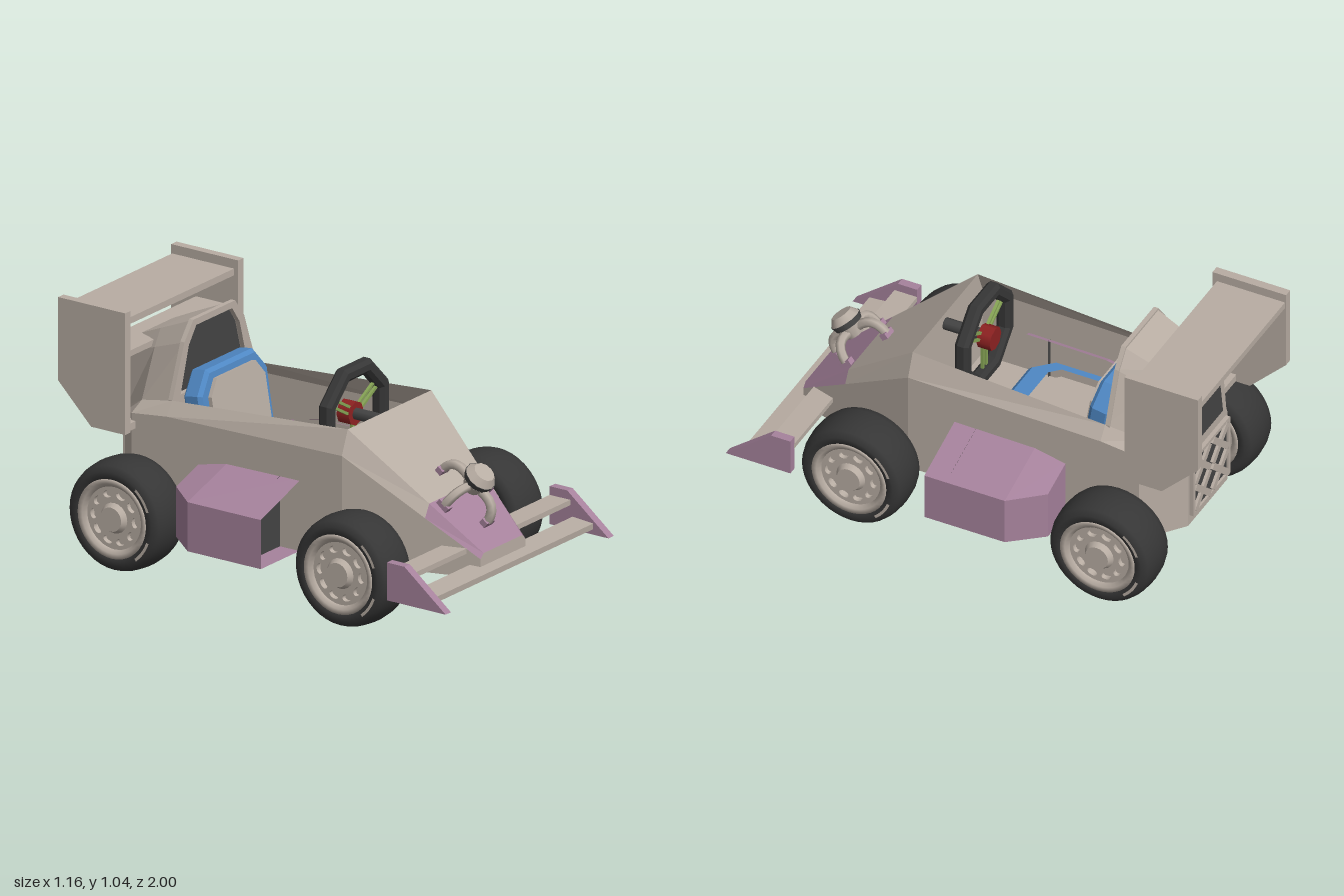
import * as THREE from 'three';

const mat = (name, color, side = THREE.FrontSide) => {
  const m = new THREE.MeshStandardMaterial({ color, side });
  m.name = name;
  return m;
};

export function createModel() {
  const beige = mat('warm grey', 0xb8ada3, THREE.DoubleSide);
  const purple = mat('mauve', 0xa6829c, THREE.DoubleSide);
  const rubber = mat('rubber black', 0x363636);
  const dark = mat('dark grey', 0x444444, THREE.DoubleSide);
  const blue = mat('seat blue', 0x4f88c4);
  const green = mat('spoke green', 0x86a455);
  const red = mat('hub red', 0x8e2222);

  const root = new THREE.Group();
  const add = (name, geo, material, parent = root, x = 0, y = 0, z = 0) => {
    const m = new THREE.Mesh(geo, material);
    m.name = name;
    m.position.set(x, y, z);
    parent.add(m);
    return m;
  };
  const box = (name, material, w, h, d, x, y, z, parent = root) =>
    add(name, new THREE.BoxGeometry(w, h, d), material, parent, x, y, z);
  const shape = pts => new THREE.Shape(pts.map(p => new THREE.Vector2(...p)));
  const extrude = (s, depth, bevel = 0) => new THREE.ExtrudeGeometry(s, {
    depth, bevelEnabled: bevel > 0, bevelSize: bevel, bevelThickness: bevel, bevelSegments: 1, curveSegments: 12 });
  // side profile given as [z, y], extruded across x and centred on x = 0
  const sideExtrude = (pts, width) =>
    extrude(shape(pts.map(([z, y]) => [-z, y])), width).rotateY(Math.PI / 2).translate(-width / 2, 0, 0);
  // right half of an outline, completed by mirroring
  const mirrored = half => shape([...half, ...half.slice().reverse().map(([x, y]) => [-x, y])]);

  // flat-faced geometry from four-cornered faces
  const faces = quads => {
    const pos = [];
    for (const [a, b, c, d] of quads) pos.push(...a, ...b, ...c, ...a, ...c, ...d);
    const g = new THREE.BufferGeometry();
    g.setAttribute('position', new THREE.Float32BufferAttribute(pos, 3));
    g.computeVertexNormals();
    return g;
  };
  const flip = ([x, y, z]) => [-x, y, z];
  const bothSides = quads => quads.concat(quads.map(q => q.map(flip).reverse()));
  // skin between neighbouring sections { z, p: [[x, y], ...] }, front to back
  const skin = (sections, from, to) => {
    const q = [];
    const at = (s, i) => [...s.p[i], s.z];
    for (let k = 0; k + 1 < sections.length; k++)
      for (let i = from; i < to; i++) {
        const a = sections[k], b = sections[k + 1];
        q.push([at(a, i), at(b, i), at(b, i + 1), at(a, i + 1)]);
      }
    return q;
  };
  // faces joining a profile point to its mirror image
  const bridge = (sections, i, up) => sections.slice(1).map((b, k) => {
    const a = sections[k], A = [...a.p[i], a.z], B = [...b.p[i], b.z];
    return up ? [A, B, flip(B), flip(A)] : [A, flip(A), flip(B), B];
  });
  const wall = (s, from, to) => {
    const q = [];
    for (let i = from; i < to; i++) {
      const a = [...s.p[i], s.z], b = [...s.p[i + 1], s.z];
      q.push([a, b, flip(b), flip(a)]);
    }
    return q;
  };

  // body tub and nose: bottom, shoulder, top
  const tip = { z: 0.87, p: [[0.15, 0.185], [0.15, 0.265], [0.13, 0.285]] };
  const mid = { z: 0.65, p: [[0.218, 0.185], [0.218, 0.41], [0.19, 0.463]] };
  const dash = { z: 0.32, p: [[0.32, 0.185], [0.32, 0.63], [0.28, 0.73]] };
  const back = { z: -0.53, p: [[0.32, 0.185], [0.32, 0.615], [0.28, 0.67], [0.2, 0.89], [0.14, 0.967]] };
  const hip = { z: -0.7, p: [[0.32, 0.185], [0.32, 0.595], [0.25, 0.63], [0.165, 0.825], [0.125, 0.893]] };
  const tail = { z: -0.84, p: [[0.17, 0.2], [0.17, 0.53], [0.16, 0.55], [0.13, 0.77], [0.1, 0.83]] };
  const tub = [tip, mid, dash, back];
  add('bodySides', faces(bothSides([...skin(tub, 0, 1), ...skin([mid, dash, back], 1, 2)])), beige);
  add('underbody', faces(bridge([...tub, hip, tail], 0, false)), beige);
  add('hood', faces(bridge([mid, dash], 2, true)), beige);
  add('noseCap', faces([...bothSides(skin([tip, mid], 1, 2)), ...bridge([tip, mid], 2, true)]), purple);
  add('noseFront', faces(wall(tip, 0, 2)), beige);
  add('dashBulkhead', faces(wall(dash, 0, 2)), beige);
  add('engineCover', faces([...bothSides(skin([back, hip, tail], 0, 4)), ...bridge([back, hip, tail], 4, true)]), beige);
  add('rearPanel', faces(wall(tail, 0, 4)), beige);
  box('cockpitFloor', beige, 0.62, 0.02, 0.85, 0, 0.3, -0.105);

  // roll hoop with intake opening
  const hoop = mirrored([[0.28, 0.3], [0.28, 0.67], [0.2, 0.89], [0.14, 0.967]]);
  const opening = [[0.225, 0.68], [0.17, 0.87], [0.12, 0.94]];
  hoop.holes.push(mirrored(opening));
  add('rollHoop', extrude(hoop, 0.02), beige, root, 0, 0, -0.55);
  add('intake', new THREE.ShapeGeometry(mirrored(opening)), dark, root, 0, 0, -0.552);

  // rear vent and lattice grille
  add('rearVent', extrude(mirrored([[0.115, 0.58], [0.09, 0.74]]), 0.006), dark, root, 0, 0, -0.848);
  box('grilleBack', dark, 0.3, 0.27, 0.008, 0, 0.385, -0.844);
  for (const s of [-1, 1]) {
    box('grillePost', beige, 0.015, 0.28, 0.02, s * 0.15, 0.385, -0.848);
    box('grilleRail', beige, 0.3, 0.015, 0.02, 0, 0.385 + s * 0.135, -0.848);
    for (let i = 0; i < 2; i++) for (let j = 0; j < 2; j++)
      box('grilleBar', beige, 0.028, 0.17, 0.02, -0.075 + i * 0.15, 0.32 + j * 0.13, -0.85).rotation.z = s * 0.82;
  }

  // bucket seat
  const seat = new THREE.Group();
  seat.name = 'seat';
  root.add(seat);
  const plan = (w, z0, z1, c) => mirrored([[w, -z0], [w, -z1 + c], [w - c, -z1]]);
  const base = plan(0.215, -0.48, 0.01, 0.07);
  base.holes.push(plan(0.185, -0.43, -0.06, 0.04));
  add('seatShell', extrude(base, 0.14, 0.02).rotateX(-Math.PI / 2), blue, seat, 0, 0.31, 0);
  add('seatCushion', extrude(plan(0.19, -0.43, -0.055, 0.04), 0.12).rotateX(-Math.PI / 2), beige, seat, 0, 0.31, 0);
  const seatBack = new THREE.Group();
  seatBack.position.set(0, 0.36, -0.38);
  seatBack.rotation.x = -0.17;
  seat.add(seatBack);
  add('backShell', extrude(mirrored([[0.21, 0], [0.215, 0.33], [0.15, 0.41]]), 0.06, 0.015), blue, seatBack, 0, 0, -0.07);
  add('backCushion', extrude(mirrored([[0.18, 0.03], [0.18, 0.32], [0.13, 0.385]]), 0.02), beige, seatBack, 0, 0, 0.002);

  // steering wheel
  const steering = new THREE.Group();
  steering.name = 'steeringWheel';
  steering.position.set(0, 0.68, 0.148);
  root.add(steering);
  const octagon = r => Array.from({ length: 8 }, (_, i) => {
    const a = (i + 0.5) * Math.PI / 4;
    return [r * Math.cos(a), r * Math.sin(a)];
  });
  const rimShape = shape(octagon(0.208));
  rimShape.holes.push(shape(octagon(0.18)));
  add('steeringRim', extrude(rimShape, 0.03, 0.015), rubber, steering, 0, 0, -0.015);
  add('steeringHub', new THREE.CylinderGeometry(0.05, 0.05, 0.06, 8).rotateX(Math.PI / 2), red, steering, 0, 0, -0.02);
  add('steeringColumn', new THREE.CylinderGeometry(0.025, 0.025, 0.17, 8).rotateX(Math.PI / 2), dark, steering, 0, 0, 0.09);
  for (const a of [Math.PI / 6, Math.PI * 5 / 6, -Math.PI / 2]) for (const o of [-0.014, 0.014]) {
    const spoke = new THREE.BoxGeometry(0.17, 0.011, 0.012).translate(0.1, o, 0).rotateZ(a);
    add('steeringSpoke', spoke, green, steering);
  }

  // nose ornament: round knob on four curved legs
  const ornament = new THREE.Group();
  ornament.name = 'noseOrnament';
  ornament.position.set(0, 0.442, 0.68);
  ornament.rotation.x = 0.675;
  root.add(ornament);
  add('knobTop', new THREE.CylinderGeometry(0.045, 0.066, 0.03, 12), beige, ornament, 0, 0.145, 0);
  add('knobBand', new THREE.CylinderGeometry(0.068, 0.06, 0.025, 12), dark, ornament, 0, 0.118, 0);
  add('knobBase', new THREE.CylinderGeometry(0.06, 0.035, 0.05, 12), beige, ornament, 0, 0.08, 0);
  for (let i = 0; i < 4; i++) {
    const leg = new THREE.Group();
    leg.rotation.y = i * Math.PI / 2;
    ornament.add(leg);
    const path = new THREE.QuadraticBezierCurve3(
      new THREE.Vector3(0.04, 0.085, 0), new THREE.Vector3(0.13, 0.1, 0), new THREE.Vector3(0.138, 0.015, 0));
    add('ornamentLeg', new THREE.TubeGeometry(path, 6, 0.02, 6), beige, leg);
    box('ornamentFoot', purple, 0.03, 0.025, 0.055, 0.138, 0.01, 0, leg);
  }

  // wheel, axis along x with the outer face toward +x
  const lathe = pts => new THREE.LatheGeometry(pts.map(p => new THREE.Vector2(...p)), 40).rotateZ(-Math.PI / 2);
  const tyreGeo = lathe([[0.15, -0.08], [0.165, -0.1], [0.195, -0.104], [0.216, -0.085], [0.225, -0.055],
    [0.23, 0], [0.225, 0.055], [0.216, 0.085], [0.195, 0.104], [0.165, 0.1], [0.15, 0.08]]);
  const rimGeo = lathe([[0.13, -0.085], [0.145, -0.1], [0.165, -0.102], [0.15, -0.06], [0.15, 0.06],
    [0.165, 0.102], [0.145, 0.1], [0.13, 0.085], [0.13, -0.085]]);
  const disc = new THREE.Shape().absarc(0, 0, 0.135, 0, Math.PI * 2);
  for (let i = 0; i < 10; i++) {
    const a = i * Math.PI / 5;
    disc.holes.push(new THREE.Path().absellipse(0.1 * Math.cos(a), 0.1 * Math.sin(a), 0.015, 0.022, 0, Math.PI * 2, true, a));
  }
  const discGeo = extrude(disc, 0.02).rotateY(Math.PI / 2);
  const turn = g => g.rotateZ(-Math.PI / 2);
  const makeWheel = name => {
    const w = new THREE.Group();
    w.name = name;
    add('tyre', tyreGeo, rubber, w);
    add('rim', rimGeo, beige, w);
    add('rimDisc', discGeo, beige, w, 0.065);
    add('rimBack', turn(new THREE.CylinderGeometry(0.135, 0.135, 0.02, 32)), beige, w, 0.03);
    add('hubCap', turn(new THREE.CylinderGeometry(0.05, 0.065, 0.025, 20)), beige, w, 0.095);
    add('innerHub', turn(new THREE.CylinderGeometry(0.06, 0.05, 0.1, 16)), beige, w, -0.03);
    for (const a of [-0.9, 0.35])
      add('tyreStripe', new THREE.RingGeometry(0.18, 0.192, 12, 1, a, 0.55).rotateY(Math.PI / 2), beige, w, 0.1045);
    return w;
  };

  for (const s of [-1, 1]) {
    for (const [end, z] of [['front', 0.465], ['rear', -0.632]]) {
      const w = makeWheel(end + 'Wheel');
      w.position.set(s * 0.445, 0.231, z);
      if (s < 0) w.rotation.y = Math.PI;
      root.add(w);
      box(end + 'Axle', beige, 0.22, 0.05, 0.07, s * 0.32, 0.25, z - 0.01);
    }

    // side pod, open at the front
    const ring = (z, x, top, outer) => ({ z, p: [[0.3, 0.19], [x, 0.19], [x, outer], [0.3, top]].map(([a, b]) => [s * a, b]) });
    const pod = [ring(0.115, 0.58, 0.49, 0.395), ring(-0.24, 0.58, 0.485, 0.395), ring(-0.375, 0.47, 0.455, 0.4)];
    const end = pod[2].p.map(([x, y]) => [x, y, pod[2].z]);
    const podFaces = [...skin(pod, 0, 3), [end[1], end[0], end[3], end[2]]];
    add('sidePod', faces(s > 0 ? podFaces : podFaces.map(q => q.reverse())), purple);
    add('podIntake', new THREE.ShapeGeometry(shape(pod[0].p)), dark, root, 0, 0, 0.02);

    // wing end plates and mounts
    add('frontEndPlate', sideExtrude([[0.715, 0.182], [1, 0.182], [0.8, 0.34], [0.715, 0.34]], 0.036), purple, root, s * 0.546);
    add('rearEndPlate', sideExtrude([[-0.675, 0.53], [-0.84, 0.53], [-1, 0.69], [-1, 1.038], [-0.675, 1.038]], 0.036),
      beige, root, s * 0.379);
    box('rearWingMount', beige, 0.14, 0.03, 0.1, s * 0.3, 0.55, -0.73);
  }

  // wing blades
  box('frontWingUpper', beige, 1.06, 0.022, 0.1, 0, 0.293, 0.765);
  box('frontWingLower', beige, 1.06, 0.025, 0.1, 0, 0.22, 0.875).rotation.x = 0.08;
  box('rearWingUpper', beige, 0.73, 0.028, 0.3, 0, 0.986, -0.845);
  box('rearWingLower', beige, 0.73, 0.025, 0.16, 0, 0.833, -0.8);
  return root;
}
